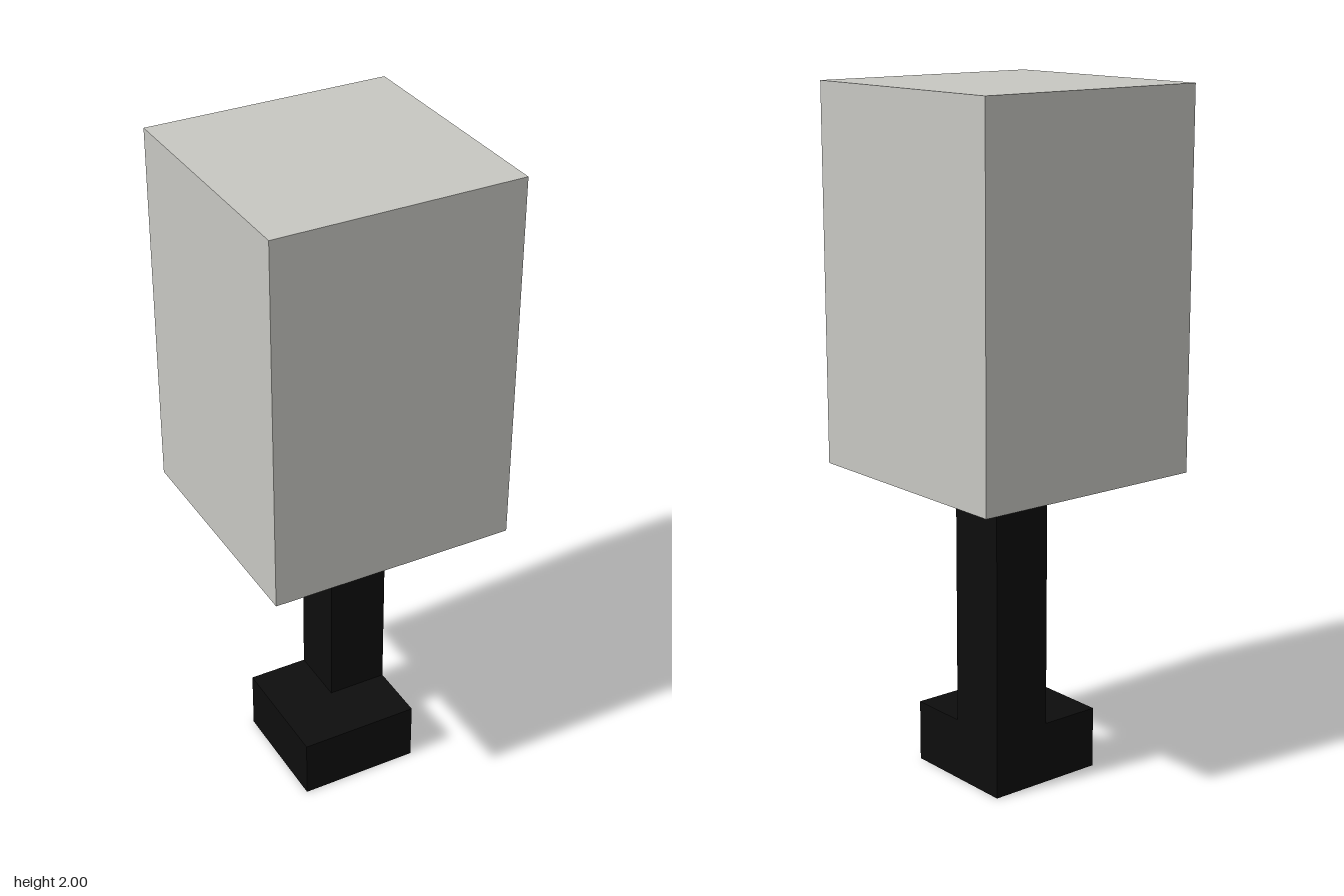
import * as THREE from 'three';

const U = 2 / 11; // the whole model sits on a grid of eleven units in height

export function createModel() {
  const group = new THREE.Group();
  const grey = new THREE.MeshStandardMaterial({ color: 0xc7c7c2 });
  grey.name = 'light grey';
  const black = new THREE.MeshStandardMaterial({ color: 0x0d0d0d });
  black.name = 'black';

  // Box given by its size and bottom centre, in grid units
  const block = (name, material, [w, h, d], [x, y, z]) => {
    const mesh = new THREE.Mesh(new THREE.BoxGeometry(w * U, h * U, d * U), material);
    mesh.position.set(x * U, (y + h / 2) * U, z * U);
    mesh.name = name;
    group.add(mesh);
  };

  block('foot', black, [2, 1, 2], [0, 0, 0]);
  // Leg rises from the back left quarter of the foot
  block('leg', black, [1, 4, 1], [0.5, 1, -0.5]);
  block('upperBlock', grey, [4, 6, 4], [0, 5, 0]);

  return group;
}
